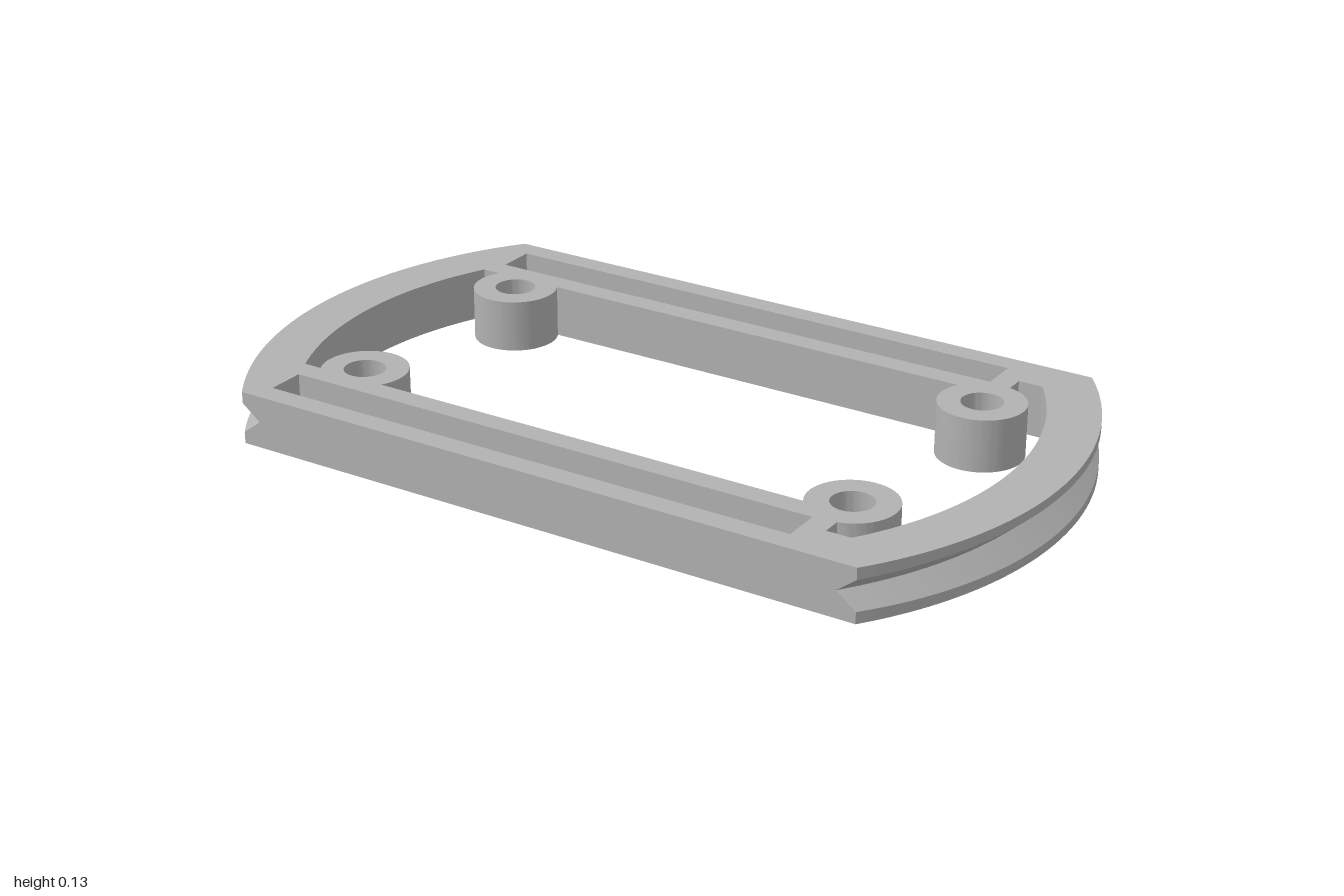
import * as THREE from 'three';
import { toCreasedNormals } from 'three/addons/utils/BufferGeometryUtils.js';

const THICK = 0.13;
const ARC_X = 0.065;               // centre of the end arcs
const R_OUT = 0.935, R_IN = 0.81;  // outer and inner end arcs
const HALF_Z = 0.565;              // straight long sides
const BOSS = { x: 0.655, z: 0.305, r: 0.105, hole: 0.05 };
const RAIL_Z = 0.359;              // inner face of the rails

function outline() {
  const a = Math.asin(HALF_Z / R_OUT);
  const s = new THREE.Shape();
  s.absarc(ARC_X, 0, R_OUT, -a, a, false);
  s.absarc(-ARC_X, 0, R_OUT, Math.PI - a, Math.PI + a, false);
  s.closePath();
  return s;
}

// Large central opening, running around the screw bosses
function opening() {
  const notchZ = 0.455, notchX = 0.675;
  const aRight = Math.asin(notchZ / R_IN), aLeft = Math.asin(RAIL_Z / R_IN);
  const near = Math.asin((RAIL_Z - BOSS.z) / BOSS.r), far = Math.PI - near;
  const neck = Math.acos((notchX - BOSS.x) / BOSS.r);
  const { x, z, r } = BOSS;
  const p = new THREE.Path();
  p.absarc(ARC_X, 0, R_IN, -aRight, aRight, false);
  p.lineTo(notchX, notchZ);
  p.absarc(x, z, r, neck, far, true);
  p.absarc(-x, z, r, near, far, true);
  p.absarc(-ARC_X, 0, R_IN, Math.PI - aLeft, Math.PI + aLeft, false);
  p.absarc(-x, -z, r, -far, -near, true);
  p.absarc(x, -z, r, -far, -neck, true);
  p.lineTo(notchX, -notchZ);
  p.closePath();
  return p;
}

// Long slot in each rail
function slot(side) {
  const p = new THREE.Path();
  p.moveTo(-0.765, side * 0.415);
  p.lineTo(0.62, side * 0.415);
  p.lineTo(0.62, side * 0.509);
  p.lineTo(-0.765, side * 0.509);
  p.closePath();
  return p;
}

function screwHole(sx, sz) {
  const p = new THREE.Path();
  p.absarc(sx * BOSS.x, sz * BOSS.z, BOSS.hole, 0, Math.PI * 2, true);
  return p;
}

// Press a V-groove into the two curved ends
function cutGroove(geo) {
  const pos = geo.attributes.position, mid = THICK / 2, half = THICK / 3;
  for (let i = 0; i < pos.count; i++) {
    const x = pos.getX(i), y = pos.getY(i), z = pos.getZ(i);
    const radius = Math.hypot(Math.abs(x) - ARC_X, z);
    if (Math.abs(x) < 0.8 || Math.abs(radius - R_OUT) > 0.002) continue;
    const off = y - mid;
    if (Math.abs(off) > half + 0.001) continue;
    const t = 1 - Math.abs(off) / half;
    pos.setX(i, x - Math.sign(x) * 0.048 * t);
    // the mouth narrows slightly towards the corners
    pos.setY(i, mid + off * (1 - 0.15 * (z / HALF_Z) ** 2));
  }
}

export function createModel() {
  const grey = new THREE.MeshStandardMaterial({ color: 0xb2b2b2 });
  grey.name = 'grey';

  const shape = outline();
  shape.holes.push(opening());
  for (const sz of [-1, 1]) {
    shape.holes.push(slot(sz));
    for (const sx of [-1, 1]) shape.holes.push(screwHole(sx, sz));
  }

  // six layers give the groove its edges and its valley
  const geo = new THREE.ExtrudeGeometry(shape, {
    depth: THICK, steps: 6, bevelEnabled: false, curveSegments: 36,
  });
  geo.rotateX(-Math.PI / 2);
  cutGroove(geo);

  const frame = new THREE.Mesh(toCreasedNormals(geo, Math.PI / 7), grey);
  frame.name = 'mountingFrame';

  const group = new THREE.Group();
  group.name = 'groovedFrame';
  group.add(frame);
  return group;
}
